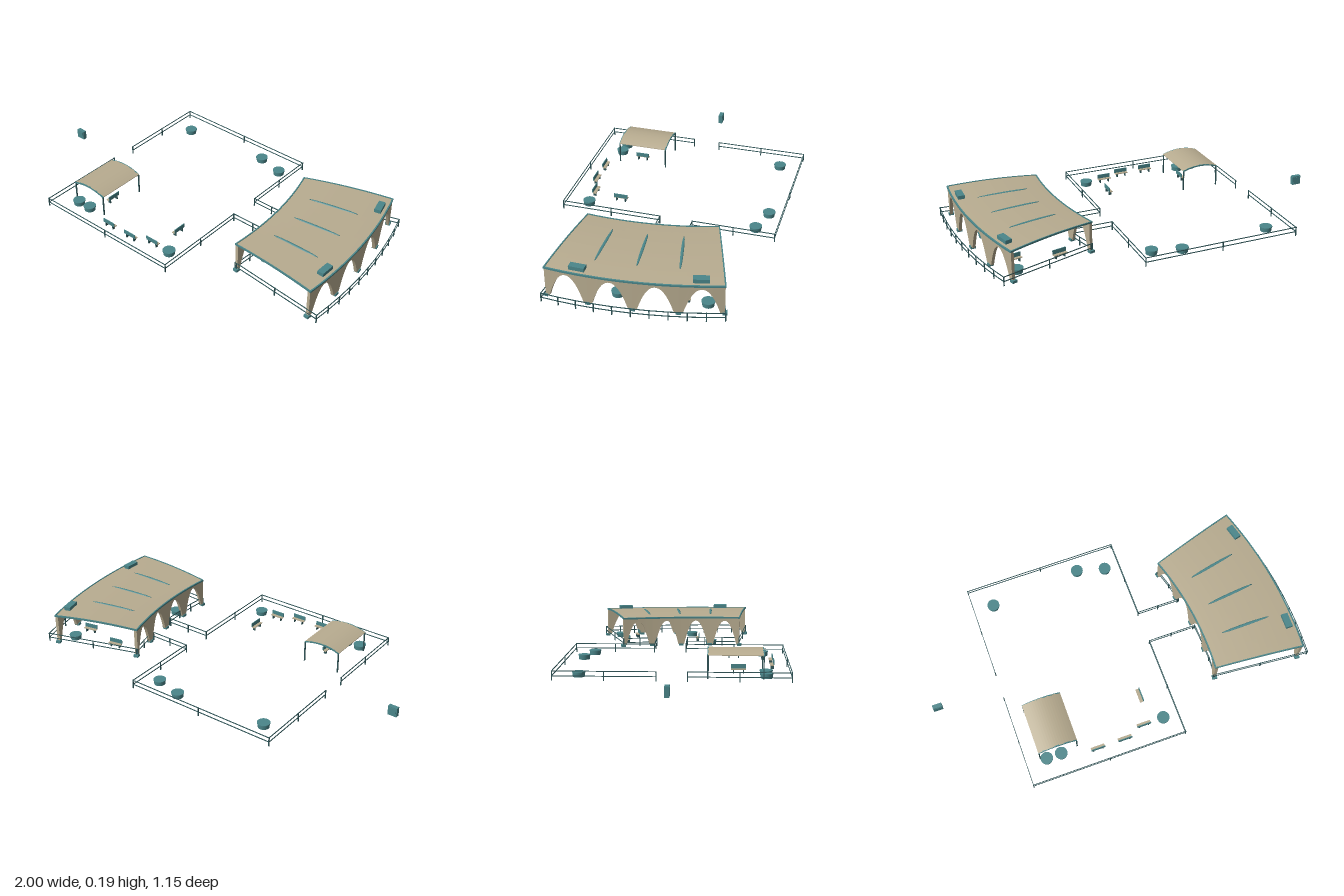
import * as THREE from 'three';

const TAN = new THREE.MeshStandardMaterial({ color: 0xb8ac90, side: THREE.DoubleSide });
const TEAL = new THREE.MeshStandardMaterial({ color: 0x4a868a });
const DARK = new THREE.MeshStandardMaterial({ color: 0x2f5558 });

// The hall is a ring sector around this centre
const CX = -1.23, CZ = 0.18, R_IN = 1.70, R_OUT = 2.18;
const A_MAX = 5.2 * Math.PI / 180, A_MIN = -17.4 * Math.PI / 180;
const SPAN = A_MAX - A_MIN, R_MID = (R_IN + R_OUT) / 2, WIDTH = R_OUT - R_IN;
const polar = (r, a) => [CX + r * Math.cos(a), CZ + r * Math.sin(a)];
const roofRise = r => 0.009 * (1 - ((r - R_MID) / (WIDTH / 2)) ** 2);

function add(parent, name, geo, mat, x = 0, y = 0, z = 0, ry = 0) {
  const m = new THREE.Mesh(geo, mat);
  m.name = name;
  m.position.set(x, y, z);
  m.rotation.y = ry;
  parent.add(m);
  return m;
}
const box = (p, name, w, h, d, mat, x, y, z, ry) =>
  add(p, name, new THREE.BoxGeometry(w, h, d), mat, x, y, z, ry);
function group(parent, name, x = 0, z = 0, ry = 0) {
  const g = new THREE.Group();
  g.name = name;
  g.position.set(x, 0, z);
  g.rotation.y = ry;
  parent.add(g);
  return g;
}

// Bends a geometry onto the sector: x is the angle fraction, z the radius
function bend(geo, rise = false) {
  const p = geo.attributes.position;
  for (let i = 0; i < p.count; i++) {
    const r = p.getZ(i), [x, z] = polar(r, A_MAX - p.getX(i) * SPAN);
    p.setXYZ(i, x, p.getY(i) + (rise ? roofRise(r) : 0), z);
  }
  geo.computeVertexNormals();
  return geo;
}

// Two rails and posts along a polyline of [x, z]
function fence(parent, points, parts) {
  const g = group(parent, 'fence');
  const post = (x, z) => box(g, 'fencePost', 0.005, 0.049, 0.005, DARK, x, 0.0245, z);
  for (let i = 0; i < points.length - 1; i++) {
    const [x0, z0] = points[i], [x1, z1] = points[i + 1];
    const len = Math.hypot(x1 - x0, z1 - z0);
    for (const y of [0.023, 0.047])
      box(g, 'fenceRail', len, 0.004, 0.003, DARK, (x0 + x1) / 2, y, (z0 + z1) / 2, -Math.atan2(z1 - z0, x1 - x0));
    for (let k = 0; k < parts; k++) post(x0 + (x1 - x0) * k / parts, z0 + (z1 - z0) * k / parts);
  }
  post(...points[points.length - 1]);
}

// Wall of four parabolic arches, bent along the given radius
function arcade(parent, name, radius) {
  const g = group(parent, name), T = 0.016, N = 4, top = 0.162;
  for (let k = 0; k < N; k++) {
    const s = new THREE.Shape(), x0 = k / N, w = 1 / N, e = 0.025;
    s.moveTo(x0, 0.01);
    for (let i = 0; i <= 24; i++) {
      const t = i / 12 - 1;
      s.lineTo(x0 + w / 2 + t * (w / 2 - e), 0.01 + 0.135 * (1 - Math.abs(t) ** 2.1));
    }
    s.lineTo(x0 + w, 0.01);
    for (let i = 4; i >= 0; i--) s.lineTo(x0 + w * i / 4, top);
    const geo = new THREE.ExtrudeGeometry(s, { depth: T, bevelEnabled: false });
    geo.translate(0, 0, radius - T / 2);
    add(g, 'archPanel', bend(geo), TAN);
  }
  for (let k = 0; k <= N; k++) {
    const a = A_MAX - SPAN * k / N, [x, z] = polar(radius, a);
    box(g, 'pierFoot', 0.026, 0.013, 0.024, TEAL, x, 0.0065, z, -a);
  }
}

function hall(parent) {
  const g = group(parent, 'hall');
  arcade(g, 'innerArcade', R_IN + 0.008);
  arcade(g, 'outerArcade', R_OUT - 0.008);

  // Curved roof and its edge trim
  const strip = (name, w, h, d, mat, x, y, z) => {
    const geo = new THREE.BoxGeometry(w, h, d, Math.ceil(w * 24), 1, Math.ceil(d * 30)).toNonIndexed();
    add(g, name, bend(geo.translate(x, y, z), true), mat);
  };
  strip('roof', 1, 0.006, WIDTH, TAN, 0.5, 0.162, R_MID);
  for (const r of [R_IN, R_OUT]) strip('roofSideTrim', 1.006, 0.009, 0.007, TEAL, 0.5, 0.1635, r);
  for (const x of [0, 1]) strip('roofEndTrim', 0.008, 0.009, WIDTH, TEAL, x, 0.1635, R_MID);

  // Slender roof vents above the piers
  for (const k of [1, 2, 3]) {
    const a = A_MAX - SPAN * k / 4, [x, z] = polar(1.93, a);
    const vent = add(g, 'roofVent', new THREE.SphereGeometry(1, 20, 8), TEAL, x, 0.172, z, -a);
    vent.scale.set(0.135, 0.005, 0.008);
  }
  // Rooftop units
  for (const deg of [-14.5, 1.1]) {
    const a = deg * Math.PI / 180, [x, z] = polar(2.143, a);
    box(g, 'rooftopUnit', 0.035, 0.02, 0.078, TEAL, x, 0.177, z, -a);
  }
}

// Barrel-roofed shelter on four posts
function canopy(parent) {
  const g = group(parent, 'canopy', -0.45, 0.305), half = 0.105, len = 0.27;
  const arch = (name, depth, z, thick, mat) => {
    const s = new THREE.Shape(), n = 16, y = t => 0.117 + 0.02 * (1 - t * t);
    for (let i = 0; i <= n; i++) {
      const t = i / n * 2 - 1;
      i ? s.lineTo(t * half, y(t)) : s.moveTo(t * half, y(t));
    }
    for (let i = n; i >= 0; i--) s.lineTo((i / n * 2 - 1) * half, y(i / n * 2 - 1) - thick);
    const geo = new THREE.ExtrudeGeometry(s, { depth, bevelEnabled: false });
    add(g, name, geo, mat, 0, 0, z - depth / 2);
  };
  arch('canopyRoof', len, 0, 0.003, TAN);
  for (const z of [-1, 1]) {
    arch('canopyRib', 0.006, z * len / 2, 0.007, TEAL);
    for (const x of [-1, 1])
      box(g, 'canopyPost', 0.006, 0.115, 0.006, DARK, x * (half - 0.003), 0.0575, z * len / 2);
  }
}

function bench(parent, x, z, ry = 0) {
  const g = group(parent, 'bench', x, z, ry);
  box(g, 'benchSeat', 0.075, 0.004, 0.018, TAN, 0, 0.021, -0.002);
  box(g, 'benchBack', 0.075, 0.022, 0.004, TEAL, 0, 0.034, 0.008);
  for (const s of [-1, 1]) box(g, 'benchLeg', 0.005, 0.02, 0.016, DARK, s * 0.025, 0.01, 0);
}

function planter(parent, x, z) {
  const g = group(parent, 'planter', x, z);
  add(g, 'planterTub', new THREE.CylinderGeometry(0.031, 0.029, 0.024, 24), TEAL, 0, 0.012, 0);
  add(g, 'planterRim', new THREE.CylinderGeometry(0.033, 0.033, 0.005, 24), TEAL, 0, 0.0235, 0);
}

export function createModel() {
  const model = new THREE.Group();
  model.name = 'pavilionCourt';
  hall(model);
  canopy(model);

  // Court fence with an entrance gap, then the passage to the hall
  const L = -0.63, R = 0.21, B = -0.575, F = 0.572;
  fence(model, [[L, -0.075], [L, B], [R, B], [R, -0.14], [0.44, -0.14]], 2);
  fence(model, [[L, 0.075], [L, F], [R, F], [R, 0.035], [0.463, 0.035]], 2);

  // Hall fence: both ends, the outer curve, and the inner curve beside the passage
  const arc = (r, a0, a1, n) => Array.from({ length: n + 1 }, (_, i) => polar(r, a0 + (a1 - a0) * i / n));
  const R_F = 2.227;
  fence(model, arc(R_F, A_MIN, A_MAX, 10), 1);
  for (const a of [A_MIN, A_MAX]) fence(model, [polar(R_IN, a), polar(R_F, a)], 2);
  fence(model, arc(R_IN + 0.008, A_MIN, -0.19, 2), 1);
  fence(model, arc(R_IN + 0.008, -0.085, A_MAX, 3), 1);

  // Planters in the court and under the hall
  for (const [x, z] of [[-0.52, -0.46], [-0.02, -0.5], [0.13, -0.46], [0.13, 0.455], [-0.52, 0.455],
    [-0.44, 0.455], [0.53, 0.17], [0.84, 0.05], [0.8, -0.38]]) planter(model, x, z);

  // Benches
  const Q = Math.PI / 2;
  for (const [x, z, ry] of [[-0.25, 0.493, 0], [-0.1, 0.493, 0], [0.02, 0.455, 0], [0.055, 0.3, Q],
    [-0.4, 0.32, Q], [0.56, -0.32, 0.2], [0.78, -0.28, 0.2], [0.65, 0.09, 0]]) bench(model, x, z, ry);

  // Free-standing kiosk by the entrance
  const kiosk = group(model, 'kiosk', -0.975, -0.003);
  box(kiosk, 'kioskBody', 0.05, 0.05, 0.022, TEAL, 0, 0.025, 0);
  box(kiosk, 'kioskPanel', 0.04, 0.038, 0.026, TEAL, 0, 0.025, 0);
  return model;
}
